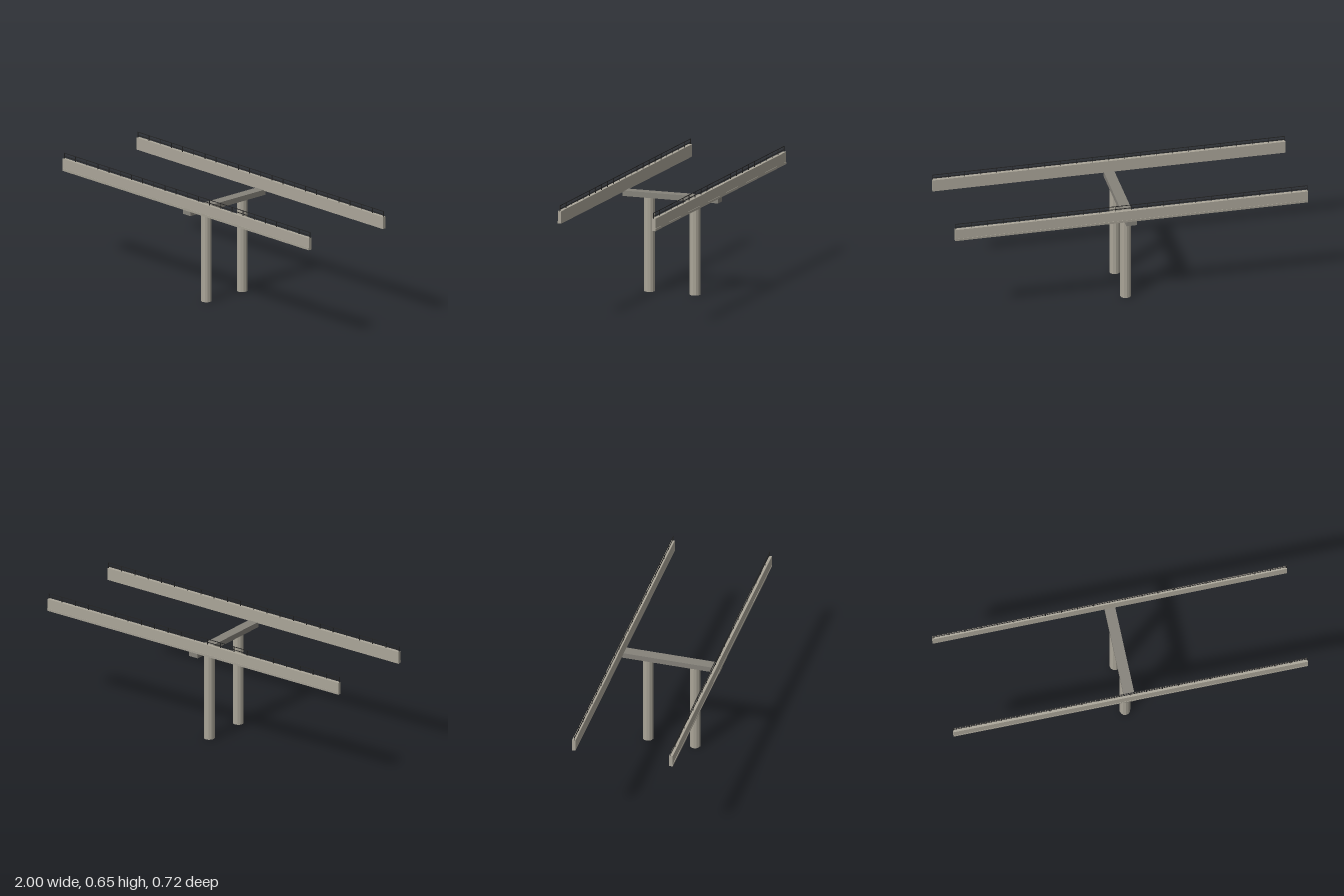
import * as THREE from 'three';

const HALF = 0.98;    // half length of the girders
const SKEW = 0.0787;  // plan rotation of the whole deck
const GRADE = 0.0066; // rise of the girders along x

export function createModel() {
  const model = new THREE.Group();
  model.name = 'viaductSection';
  const bridge = new THREE.Group();
  bridge.name = 'skewedBridge';
  bridge.rotation.y = SKEW;
  model.add(bridge);

  const material = (color) => new THREE.MeshStandardMaterial({ color, flatShading: true });
  const concrete = material(0xaaa598);
  const darkConcrete = material(0x85827a);
  const metal = material(0x222222);

  const add = (parent, name, mat, geo, x = 0, y = 0, z = 0) => {
    geo.translate(x, y, z);
    const mesh = new THREE.Mesh(geo, mat);
    mesh.name = name;
    parent.add(mesh);
    return mesh;
  };

  // Shear a geometry so it follows the longitudinal grade
  const slope = (geo) => {
    const p = geo.attributes.position;
    for (let i = 0; i < p.count; i++) p.setY(i, p.getY(i) + GRADE * p.getX(i));
    geo.computeVertexNormals();
  };

  // Pier: dark cross beam on two round columns
  add(bridge, 'pierCap', darkConcrete, new THREE.BoxGeometry(0.058, 0.03, 0.555), 0, 0.535, -0.002);
  for (const s of [1, -1]) {
    add(bridge, s > 0 ? 'frontColumn' : 'backColumn', concrete,
      new THREE.CylinderGeometry(0.0297, 0.0297, 0.52, 12), 0, 0.26, s * 0.132 - 0.002);
  }

  // Edge girders with a small outer bottom lip, each carrying a railing
  const profile = [
    [-0.011, 0.547], [0.0085, 0.547], [0.0095, 0.56], [0.008, 0.56],
    [0.008, 0.6155], [-0.011, 0.6155],
  ];
  for (const s of [1, -1]) {
    const side = new THREE.Group();
    side.name = s > 0 ? 'frontEdge' : 'backEdge';
    bridge.add(side);
    const z = s * 0.275;

    const shape = new THREE.Shape(profile.map(([u, y]) => new THREE.Vector2(-s * u, y)));
    const girder = new THREE.ExtrudeGeometry(shape, { depth: 2 * HALF, bevelEnabled: false });
    girder.translate(0, 0, -HALF);
    girder.rotateY(Math.PI / 2);
    slope(add(side, 'girder', concrete, girder, 0, 0, z).geometry);

    // Railing: two long rails and evenly spaced posts
    const railZ = z - s * 0.0035;
    for (const [name, y] of [['topRail', 0.6455], ['midRail', 0.6275]]) {
      slope(add(side, name, metal, new THREE.BoxGeometry(2 * HALF, 0.003, 0.003), 0, y, railZ).geometry);
    }
    const posts = 23;
    for (let i = 0; i < posts; i++) {
      const x = -HALF + 0.002 + (i / (posts - 1)) * (2 * HALF - 0.004);
      add(side, 'railPost', metal, new THREE.BoxGeometry(0.004, 0.031, 0.003),
        x, 0.63 + GRADE * x, railZ);
    }
  }
  return model;
}
